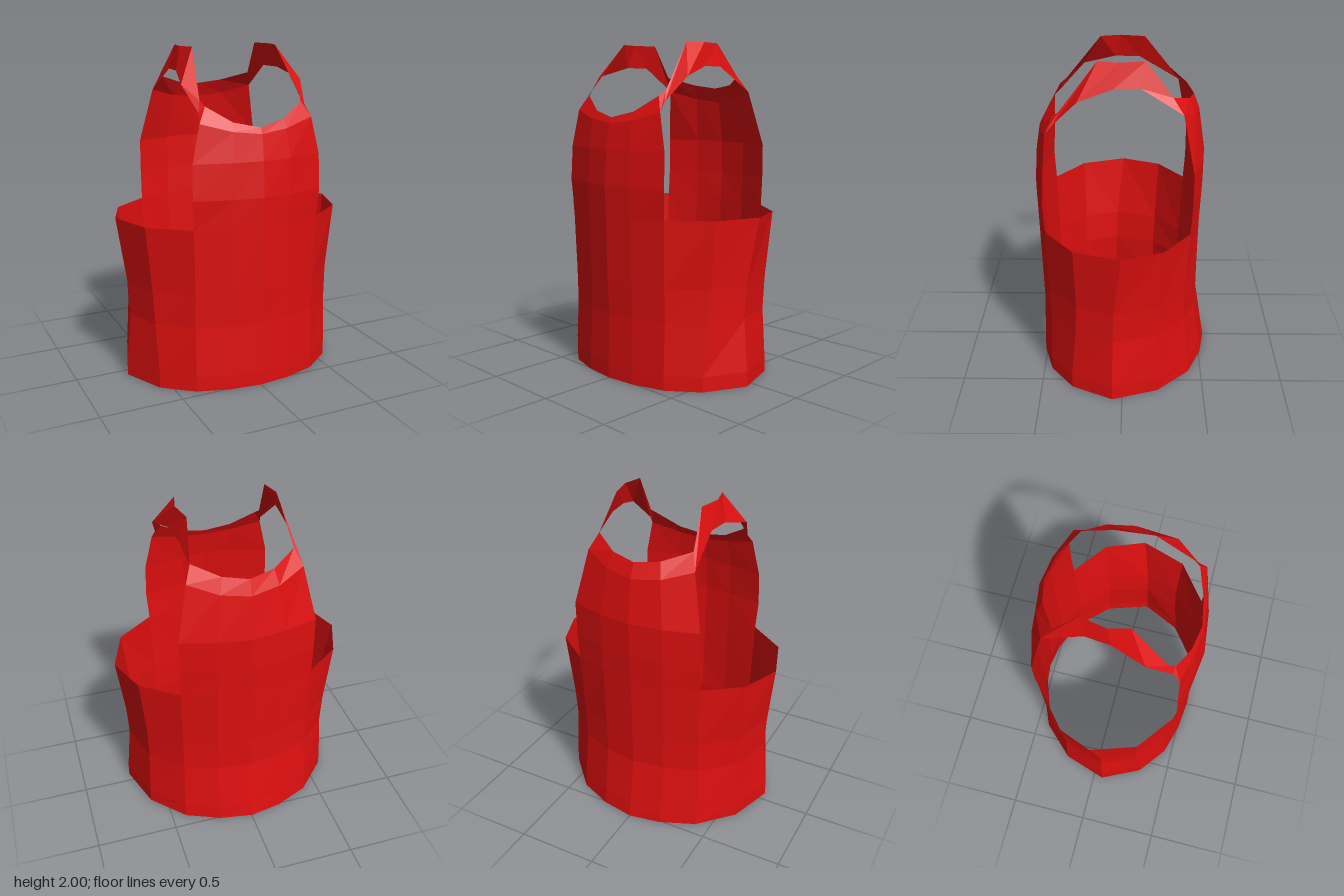
import * as THREE from 'three';

// Skin of quads between rows of [x, y, z] points; rows run upwards, points run counter-clockwise from above.
function skin(rows, closed = false) {
  const n = rows[0].length;
  const index = [];
  for (let r = 0; r < rows.length - 1; r++) {
    for (let c = 0; c < (closed ? n : n - 1); c++) {
      const d = (c + 1) % n;
      const a = r * n + c, b = r * n + d, e = a + n, f = b + n;
      index.push(a, b, f, a, f, e);
    }
  }
  const geometry = new THREE.BufferGeometry();
  geometry.setAttribute('position', new THREE.Float32BufferAttribute(rows.flat(2), 3));
  geometry.setIndex(index);
  const flat = geometry.toNonIndexed();
  flat.computeVertexNormals();
  return flat;
}

const mirror = ([x, y, z]) => [-x, y, z];
const mirrored = (points) => points.map(mirror).reverse();

export function createModel() {
  const group = new THREE.Group();
  const red = new THREE.MeshStandardMaterial({ color: 0xdd0f0f, flatShading: true, side: THREE.DoubleSide });
  red.name = 'red fabric';
  const add = (name, geometry) => {
    const mesh = new THREE.Mesh(geometry, red);
    mesh.name = name;
    group.add(mesh);
  };

  // Body tube: half rings of [x, z] from front centre round the left side to back centre
  const rings = [
    [0.00, [[0, 0.53], [0.19, 0.51], [0.39, 0.45], [0.57, 0.31], [0.69, 0.06], [0.60, -0.22], [0.41, -0.42], [0.20, -0.51], [0, -0.545]]],
    [0.09, [[0, 0.53], [0.19, 0.51], [0.39, 0.45], [0.57, 0.31], [0.69, 0.06], [0.60, -0.22], [0.41, -0.41], [0.20, -0.50], [0, -0.53]]],
    [0.40, [[0, 0.52], [0.18, 0.50], [0.39, 0.44], [0.58, 0.28], [0.66, 0.055], [0.585, -0.21], [0.40, -0.38], [0.20, -0.455], [0, -0.48]]],
    [0.60, [[0, 0.53], [0.18, 0.505], [0.39, 0.445], [0.59, 0.27], [0.67, 0.05], [0.59, -0.22], [0.40, -0.38], [0.20, -0.455], [0, -0.48]]],
    [1.00, [[0, 0.54], [0.18, 0.515], [0.40, 0.455], [0.63, 0.28], [0.72, 0.005], [0.625, -0.24], [0.41, -0.40], [0.20, -0.465], [0, -0.485]]],
  ].map(([y, points]) => {
    const half = points.map(([x, z]) => [x, y, z]);
    return [...half, ...mirrored(half.slice(1, -1))];
  });
  add('body', skin(rings, true));

  // Front panel: rows from centre to armhole, ending at the neckline
  const top = rings[rings.length - 1];
  const front = [
    top.slice(0, 3),
    [[0, 1.17, 0.545], [0.18, 1.17, 0.52], [0.41, 1.17, 0.465]],
    [[0, 1.38, 0.53], [0.18, 1.38, 0.51], [0.405, 1.38, 0.455]],
    [[0, 1.53, 0.505], [0.17, 1.55, 0.485], [0.355, 1.60, 0.44]],
    [[0, 1.565, 0.49], [0.16, 1.60, 0.46], [0.305, 1.69, 0.40]],
  ];
  add('frontPanel', skin(front.map((row) => [...mirrored(row.slice(1)), ...row])));

  // Back panel: rows from armhole to centre, ending at the higher back neckline
  const back = [
    top.slice(6, 9),
    [[0.41, 1.17, -0.41], [0.20, 1.17, -0.47], [0, 1.17, -0.495]],
    [[0.41, 1.38, -0.41], [0.20, 1.38, -0.47], [0, 1.38, -0.495]],
    [[0.34, 1.71, -0.345], [0.17, 1.66, -0.425], [0, 1.64, -0.455]],
    [[0.30, 1.80, -0.285], [0.15, 1.75, -0.385], [0, 1.73, -0.42]],
  ];
  add('backPanel', skin(back.map((row) => [...row, ...mirrored(row.slice(0, -1))])));

  // Shoulder straps: armhole edge and neck edge, front to back
  const strap = [
    [front[3][2], [0.34, 1.655, 0.39], [0.385, 1.80, 0.25], [0.335, 1.86, 0.05], [0.32, 1.86, -0.10], back[3][0]],
    [front[4][2], [0.32, 1.72, 0.36], [0.27, 2.0, 0.14], [0.30, 2.0, 0.02], [0.27, 2.0, -0.13], back[4][0]],
  ];
  add('leftStrap', skin(strap));
  add('rightStrap', skin(strap.map(mirrored)));

  return group;
}
